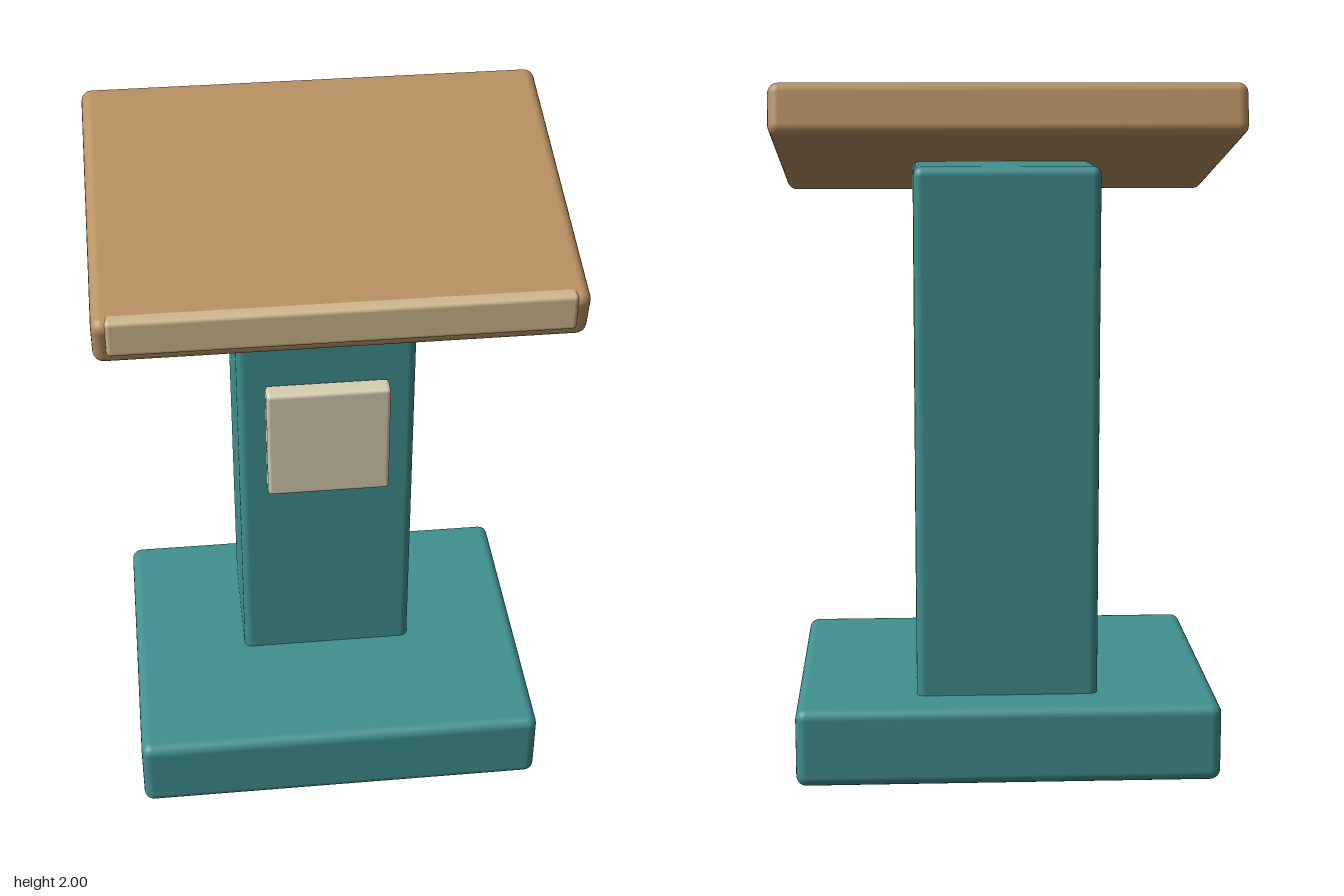
import * as THREE from 'three';
import { RoundedBoxGeometry } from 'three/addons/geometries/RoundedBoxGeometry.js';

const paint = (color) => new THREE.MeshStandardMaterial({ color });

export function createModel() {
  const model = new THREE.Group();
  model.name = 'lectern';

  const teal = paint(0x409090);
  const wood = paint(0xb89062);
  const paleWood = paint(0xd0b88e);
  const cream = paint(0xd8ceb4);

  // Rounded block given by its size and centre
  function block(name, size, centre, radius, material) {
    const mesh = new THREE.Mesh(new RoundedBoxGeometry(...size, 3, radius), material);
    mesh.name = name;
    mesh.position.set(...centre);
    model.add(mesh);
    return mesh;
  }

  // Foot and upright, the upright set towards the back
  block('base', [1.23, 0.23, 0.97], [0, 0.115, 0], 0.03, teal);
  block('column', [0.53, 1.6, 0.41], [0, 0.967, -0.152], 0.025, teal);

  // Blank panel on the front of the column
  block('frontPanel', [0.366, 0.368, 0.062], [0, 1.086, 0.086], 0.012, cream);

  // Reading desk, tilted down towards the front
  const desk = block('readingDesk', [1.32, 0.148, 0.95], [0, 1.827, 0.002], 0.03, wood);
  desk.rotation.x = THREE.MathUtils.degToRad(13);

  // Lip that stops papers sliding off
  block('paperLedge', [1.245, 0.106, 0.048], [0, 1.748, 0.458], 0.012, paleWood);

  return model;
}
